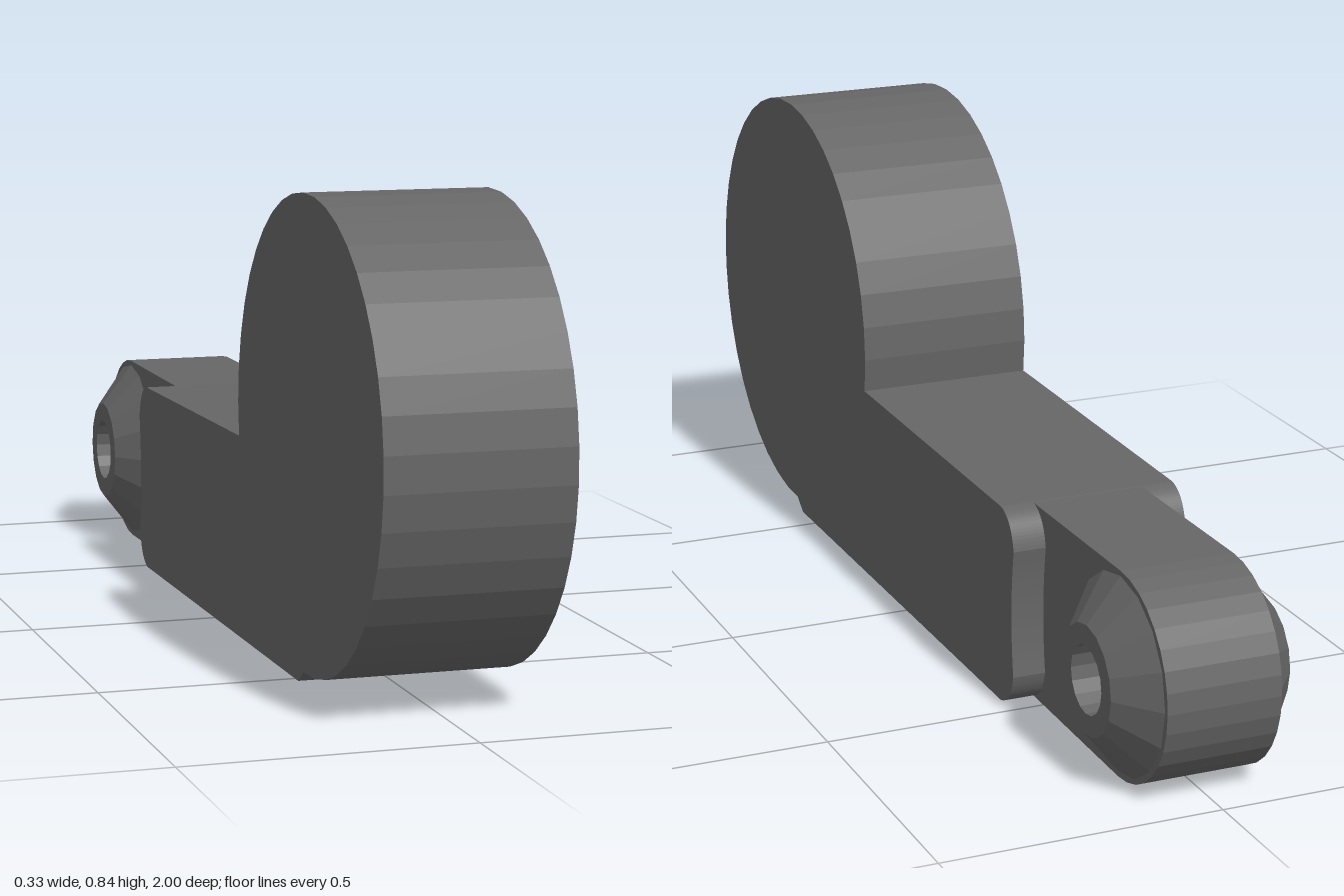
import * as THREE from 'three';

const HALF_WIDTH = 0.163; // drum, body and boss faces
const HALF_ARM = 0.103;   // thinner rear arm
const PIVOT = { z: -0.816, y: 0.185 };
const HOLE = 0.06;

export function createModel() {
  const group = new THREE.Group();
  const material = new THREE.MeshStandardMaterial({ color: 0x666666, flatShading: true });

  const add = (name, geometry) => {
    const mesh = new THREE.Mesh(geometry, material);
    mesh.name = name;
    group.add(mesh);
    return mesh;
  };

  // Side profile drawn in (z, y), extruded evenly across x
  const extrudeSide = (shape, half, curveSegments) =>
    new THREE.ExtrudeGeometry(shape, { depth: half * 2, bevelEnabled: false, curveSegments })
      .translate(0, 0, -half)
      .rotateY(-Math.PI / 2);

  // Round drum running into the thick lever body, with a hollowed rear end
  const body = new THREE.Shape();
  body.moveTo(0.58, 0.032);
  body.lineTo(0.55, 0.01);
  body.lineTo(-0.46, 0.007);
  body.quadraticCurveTo(-0.505, 0.015, -0.516, 0.07);
  body.quadraticCurveTo(-0.498, 0.186, -0.516, 0.302);
  body.quadraticCurveTo(-0.505, 0.36, -0.46, 0.367);
  body.lineTo(0.193, 0.375);
  body.absarc(0.594, 0.438, 0.406, Math.PI + 0.156, -Math.PI / 2 - 0.035, true);
  add('drumAndLeverBody', extrudeSide(body, HALF_WIDTH, 16));

  // Thin arm with a rounded end and a pivot hole
  const arm = new THREE.Shape();
  arm.moveTo(-0.42, 0.008);
  arm.lineTo(-0.42, 0.366);
  arm.absarc(PIVOT.z, PIVOT.y, 0.183, Math.PI / 2, Math.PI * 1.5, false);
  arm.closePath();
  const hole = new THREE.Path();
  hole.absarc(PIVOT.z, PIVOT.y, HOLE, 0, Math.PI * 2, true);
  arm.holes.push(hole);
  add('pivotArm', extrudeSide(arm, HALF_ARM, 8));

  // Tapered bosses around the hole on both sides
  const profile = [
    [0.174, HALF_ARM], [0.097, HALF_WIDTH], [HOLE, HALF_WIDTH], [HOLE, HALF_ARM],
  ].map(([r, h]) => new THREE.Vector2(r, h));
  for (const [side, name] of [[1, 'leftBoss'], [-1, 'rightBoss']]) {
    const boss = add(name, new THREE.LatheGeometry(profile, 16).rotateZ(-side * Math.PI / 2));
    boss.position.set(0, PIVOT.y, PIVOT.z);
  }

  return group;
}
